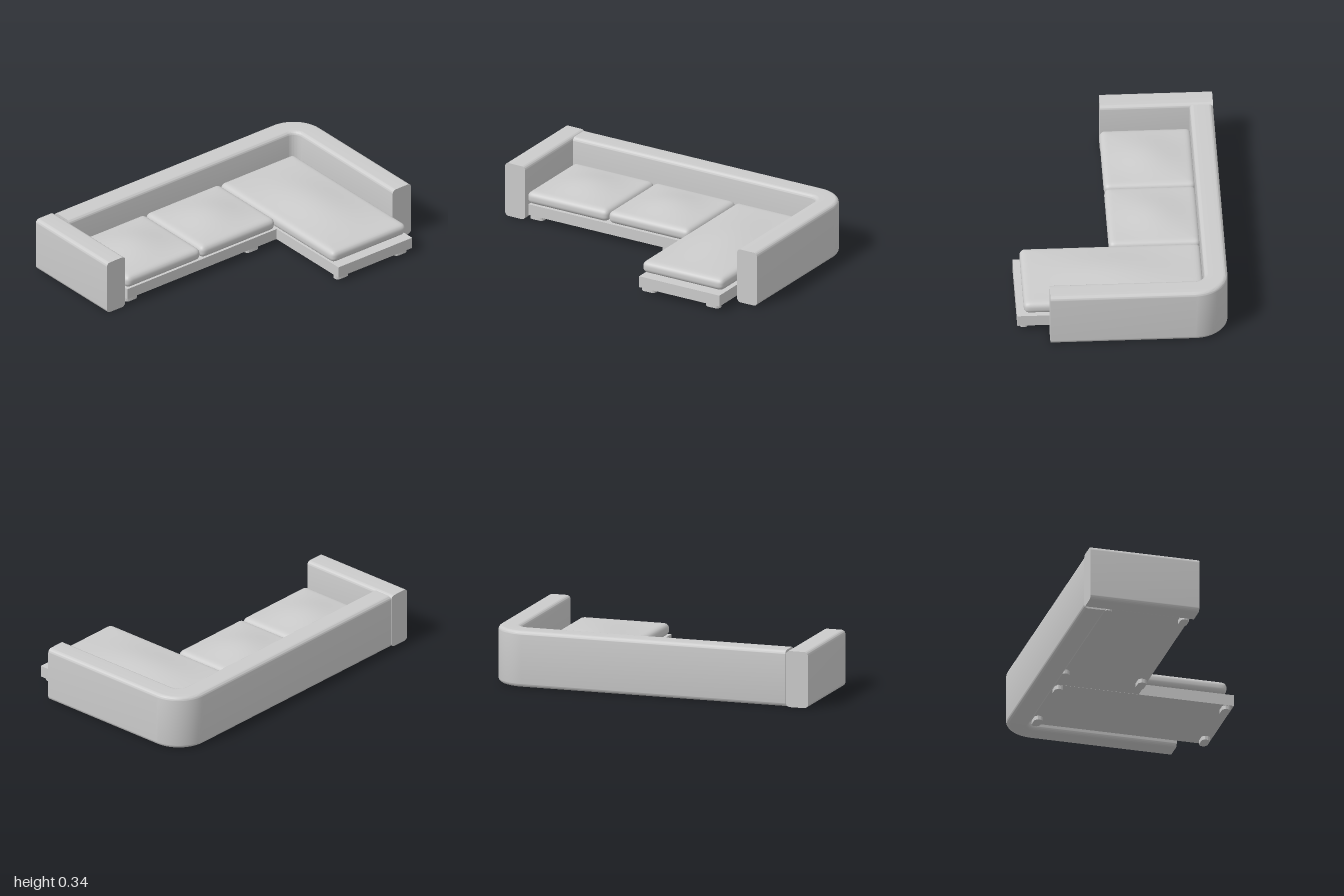
import * as THREE from 'three';
import { mergeVertices, toCreasedNormals } from 'three/addons/utils/BufferGeometryUtils.js';

const material = new THREE.MeshStandardMaterial({ color: 0xcccccc });

function add(group, name, geometry, x = 0, y = 0, z = 0) {
  const mesh = new THREE.Mesh(geometry, material);
  mesh.name = name;
  mesh.position.set(x, y, z);
  group.add(mesh);
  return mesh;
}

// Rounded rectangle between two corners
function roundedRect(x0, y0, x1, y1, r) {
  const s = new THREE.Shape();
  s.absarc(x1 - r, y0 + r, r, -Math.PI / 2, 0);
  s.absarc(x1 - r, y1 - r, r, 0, Math.PI / 2);
  s.absarc(x0 + r, y1 - r, r, Math.PI / 2, Math.PI);
  s.absarc(x0 + r, y0 + r, r, Math.PI, Math.PI * 1.5);
  s.closePath();
  return s;
}

// Straight bar along z with a rounded section
function bar(section, depth) {
  const g = new THREE.ExtrudeGeometry(section, { depth, bevelEnabled: false, curveSegments: 6 });
  return toCreasedNormals(g, 0.6);
}

// Backrest that turns a round corner and continues as the left arm
function wraparound() {
  const R = 0.2, cx = 0.8, cz = -0.425, turn = 20;
  const stations = [{ x: -0.857, z: cz, a: 0 }];
  for (let i = 0; i <= turn; i++) stations.push({ x: cx, z: cz, a: (i / turn) * Math.PI / 2 });
  stations.push({ x: cx, z: 0.435, a: Math.PI / 2 });
  const n = stations.length - 1;
  const g = new THREE.ExtrudeGeometry(roundedRect(-0.14, 0, 0, 0.34, 0.025),
    { depth: n, steps: n, bevelEnabled: false, curveSegments: 6 });
  const p = g.attributes.position;
  for (let i = 0; i < p.count; i++) {
    const s = stations[Math.round(p.getZ(i))];
    const d = R + p.getX(i);
    p.setXYZ(i, s.x + Math.sin(s.a) * d, p.getY(i), s.z - Math.cos(s.a) * d);
  }
  return toCreasedNormals(g, 0.6);
}

// Soft cushion: a rounded box whose top swells toward the middle
function cushion(w, h, d) {
  let g = new THREE.BoxGeometry(2, 2, 2, 32, 10, 32);
  g.deleteAttribute('uv');
  g.deleteAttribute('normal');
  g = mergeVertices(g);
  const p = g.attributes.position, r = 0.034;
  const half = new THREE.Vector3(w / 2, h / 2, d / 2);
  const inner = half.clone().subScalar(r);
  const v = new THREE.Vector3(), core = new THREE.Vector3();
  const spread = t => Math.sin(t * Math.PI / 2);
  for (let i = 0; i < p.count; i++) {
    v.set(spread(p.getX(i)), p.getY(i), spread(p.getZ(i))).multiply(half);
    core.copy(v).clamp(inner.clone().negate(), inner);
    v.sub(core).setLength(r).add(core);
    const u = Math.min(1, Math.abs(v.x / half.x)), t = Math.min(1, Math.abs(v.z / half.z));
    const bell = (1 + Math.cos(Math.PI * u)) * (1 + Math.cos(Math.PI * t)) / 4;
    if (v.y > 0) v.y += 0.027 * bell * v.y / half.y;
    // edges thin out slightly toward the corners
    v.y *= 1 - 0.14 * Math.pow(Math.max(u, t), 6);
    p.setXYZ(i, v.x, v.y, v.z);
  }
  g.computeVertexNormals();
  return g;
}

export function createModel() {
  const sofa = new THREE.Group();
  sofa.name = 'cornerSofa';

  add(sofa, 'backrestAndLeftArm', wraparound());
  add(sofa, 'rightArm', bar(roundedRect(-1, 0, -0.86, 0.34, 0.025), 0.67), 0, 0, -0.625);

  // Platforms under the seat and the chaise
  add(sofa, 'seatBase', new THREE.BoxGeometry(1.135, 0.068, 0.535), -0.2725, 0.07, -0.2275);
  add(sofa, 'chaiseBase', new THREE.BoxGeometry(0.56, 0.07, 1.12), 0.575, 0.07, 0.065);

  // Cushions
  for (const [i, x] of [-0.567, 0].entries()) {
    add(sofa, 'seatCushion' + (i + 1), cushion(0.564, 0.084, 0.545), x, 0.148, -0.22);
  }
  add(sofa, 'chaiseCushion', cushion(0.564, 0.084, 1.075), 0.567, 0.148, 0.0475);

  // Low feet with rounded ends
  const foot = bar(roundedRect(-0.048, -0.026, 0.048, 0.026, 0.025), 0.027);
  foot.rotateX(-Math.PI / 2);
  for (const [xs, zs] of [[[-0.795, 0.125], [-0.47, 0.005]], [[0.345, 0.79], [-0.445, 0.585]]]) {
    for (const x of xs) for (const z of zs) add(sofa, 'foot', foot, x, 0.01, z);
  }
  return sofa;
}
